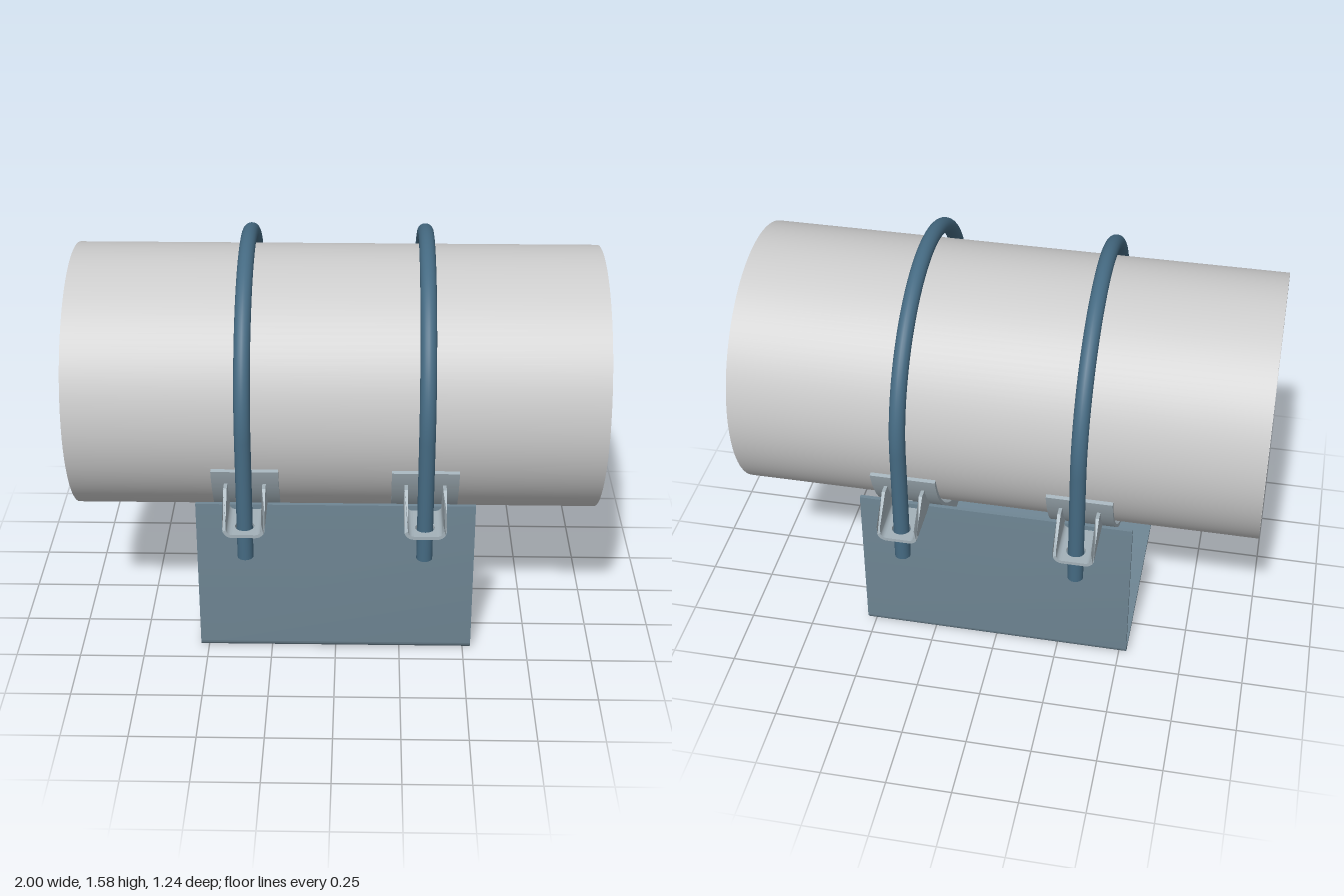
import * as THREE from 'three';
import { toCreasedNormals } from 'three/addons/utils/BufferGeometryUtils.js';

const CY = 0.995;          // height of the pipe axis
const BOLT_X = 0.335;      // clamp stations at +-x
const BOLT_R = 0.555;      // bend radius of the U-bolts
const STRAP_IN = 0.52, STRAP_OUT = 0.535;

const paint = (color) => new THREE.MeshStandardMaterial({ color });

function part(name, geometry, material, parent) {
  const mesh = new THREE.Mesh(geometry, material);
  mesh.name = name;
  parent.add(mesh);
  return mesh;
}

// Extrude a (z, y) profile along x, centred on x = 0
function alongX(shape, width, curveSegments = 24) {
  const g = new THREE.ExtrudeGeometry(shape, { depth: width, bevelEnabled: false, curveSegments });
  g.translate(0, 0, -width / 2).rotateY(Math.PI / 2);
  return toCreasedNormals(g, 0.6);
}

// z of the strap's outer face at height y
const strapZ = (y) => Math.sqrt(STRAP_OUT ** 2 - (CY - y) ** 2);

function pipeGeometry() {
  const s = new THREE.Shape().absarc(0, CY, 0.507, 0, Math.PI * 2);
  s.holes.push(new THREE.Path().absarc(0, CY, 0.488, 0, Math.PI * 2, true));
  return alongX(s, 2, 64);
}

// Bent channel: two walls and a floor with rounded corners
function channelGeometry() {
  const w = 0.433, t = 0.016, h = 0.655, r = 0.035, i = w - t;
  const s = new THREE.Shape();
  s.moveTo(-w, h).lineTo(-w, r);
  s.absarc(-w + r, r, r, Math.PI, Math.PI * 1.5);
  s.absarc(w - r, r, r, -Math.PI / 2, 0);
  s.lineTo(w, h).lineTo(i, h).lineTo(i, r);
  s.absarc(w - r, r, r - t, 0, -Math.PI / 2, true);
  s.absarc(-w + r, r, r - t, -Math.PI / 2, -Math.PI, true);
  s.lineTo(-i, h);
  return alongX(s, 1.06, 8);
}

// Web plate: chamfered at the bottom, cut to the strap on top
function webGeometry() {
  const w = 0.417, c = 0.045, b = 0.016;
  const a = Math.acos(w / STRAP_OUT);
  const s = new THREE.Shape();
  s.moveTo(-w, b + c).lineTo(-w + c, b).lineTo(w - c, b).lineTo(w, b + c);
  s.absarc(0, CY, STRAP_OUT, -a, -Math.PI + a, true);
  return alongX(s, 0.02, 48);
}

function strapGeometry() {
  const a = 0.295;
  const s = new THREE.Shape();
  s.absarc(0, CY, STRAP_OUT, -Math.PI + a, -a);
  s.absarc(0, CY, STRAP_IN, -a, -Math.PI + a, true);
  return alongX(s, 0.25, 64);
}

const LUG = { half: 0.078, t: 0.013, y0: 0.622, y1: 0.778, r: 0.035, zIn: 0.41, zOut: 0.62 };

// One cheek and its bend; ends follow the strap inside and a slope outside
function cheekGeometry(side) {
  const { half, t, y0, y1, r, zIn, zOut } = LUG;
  const s = new THREE.Shape();
  const cx = half - r, cy = y0 + r;
  const levels = [0.685, 0.71, 0.735, 0.757];
  const bend = [0, 1, 2, 3, 4, 5, 6].map((k) => -Math.PI / 2 + (k * Math.PI) / 12);
  const pts = [
    ...bend.map((a) => [cx + r * Math.cos(a), cy + r * Math.sin(a)]),
    ...levels.map((y) => [half, y]), [half, y1], [half - t, y1],
    ...levels.slice().reverse().map((y) => [half - t, y]),
    ...bend.slice().reverse().map((a) => [cx + (r - t) * Math.cos(a), cy + (r - t) * Math.sin(a)]),
  ];
  s.setFromPoints(pts.map(([x, y]) => new THREE.Vector2(side * x, y)));
  const g = new THREE.ExtrudeGeometry(s, { depth: 1, bevelEnabled: false });
  const p = g.attributes.position;
  for (let i = 0; i < p.count; i++) {
    const y = p.getY(i);
    const inner = Math.max(zIn, strapZ(y) - 0.004);
    const outer = zOut - Math.max(0, y - 0.685) * 1.02;
    p.setZ(i, p.getZ(i) > 0.5 ? outer : inner);
  }
  return toCreasedNormals(g, 0.6);
}

// Flat lug floor with the bolt hole
function lugFloorGeometry() {
  const { half, t, y0, r, zIn, zOut } = LUG;
  const w = half - r;
  const s = new THREE.Shape();
  s.moveTo(-w, -zOut).lineTo(w, -zOut).lineTo(w, -zIn).lineTo(-w, -zIn);
  s.holes.push(new THREE.Path().absarc(0, -BOLT_R, 0.036, 0, Math.PI * 2, true));
  const g = new THREE.ExtrudeGeometry(s, { depth: t, bevelEnabled: false, curveSegments: 16 });
  g.rotateX(-Math.PI / 2).translate(0, y0, 0);
  return toCreasedNormals(g, 0.6);
}

export function createModel() {
  const model = new THREE.Group();
  model.name = 'pipeSupport';
  const pipeMat = paint(0xcccccc);
  const channelMat = paint(0x6f8694);
  const plateMat = paint(0xa3b1b9);
  const boltMat = paint(0x456a82);

  part('pipe', pipeGeometry(), pipeMat, model);
  part('baseChannel', channelGeometry(), channelMat, model);

  const web = webGeometry(), strap = strapGeometry(), floor = lugFloorGeometry();
  const cheeks = [cheekGeometry(-1), cheekGeometry(1)];
  const arch = new THREE.TorusGeometry(BOLT_R, 0.03, 20, 72, Math.PI).rotateY(Math.PI / 2);
  const legLength = CY - 0.503;
  const leg = new THREE.CylinderGeometry(0.03, 0.03, legLength, 20);

  for (const x of [-BOLT_X, BOLT_X]) {
    const station = new THREE.Group();
    station.name = 'clampStation';
    station.position.x = x;
    model.add(station);

    part('webPlate', web, plateMat, station);
    part('saddleStrap', strap, plateMat, station);
    part('boltArch', arch, boltMat, station).position.y = CY;

    // Front and back: bolt leg and its lug
    for (const turn of [0, Math.PI]) {
      const end = new THREE.Group();
      end.name = turn ? 'backLug' : 'frontLug';
      end.rotation.y = turn;
      station.add(end);
      part('boltLeg', leg, boltMat, end).position.set(0, CY - legLength / 2, BOLT_R);
      part('lugFloor', floor, plateMat, end);
      cheeks.forEach((c) => part('lugCheek', c, plateMat, end));
    }
  }
  return model;
}
